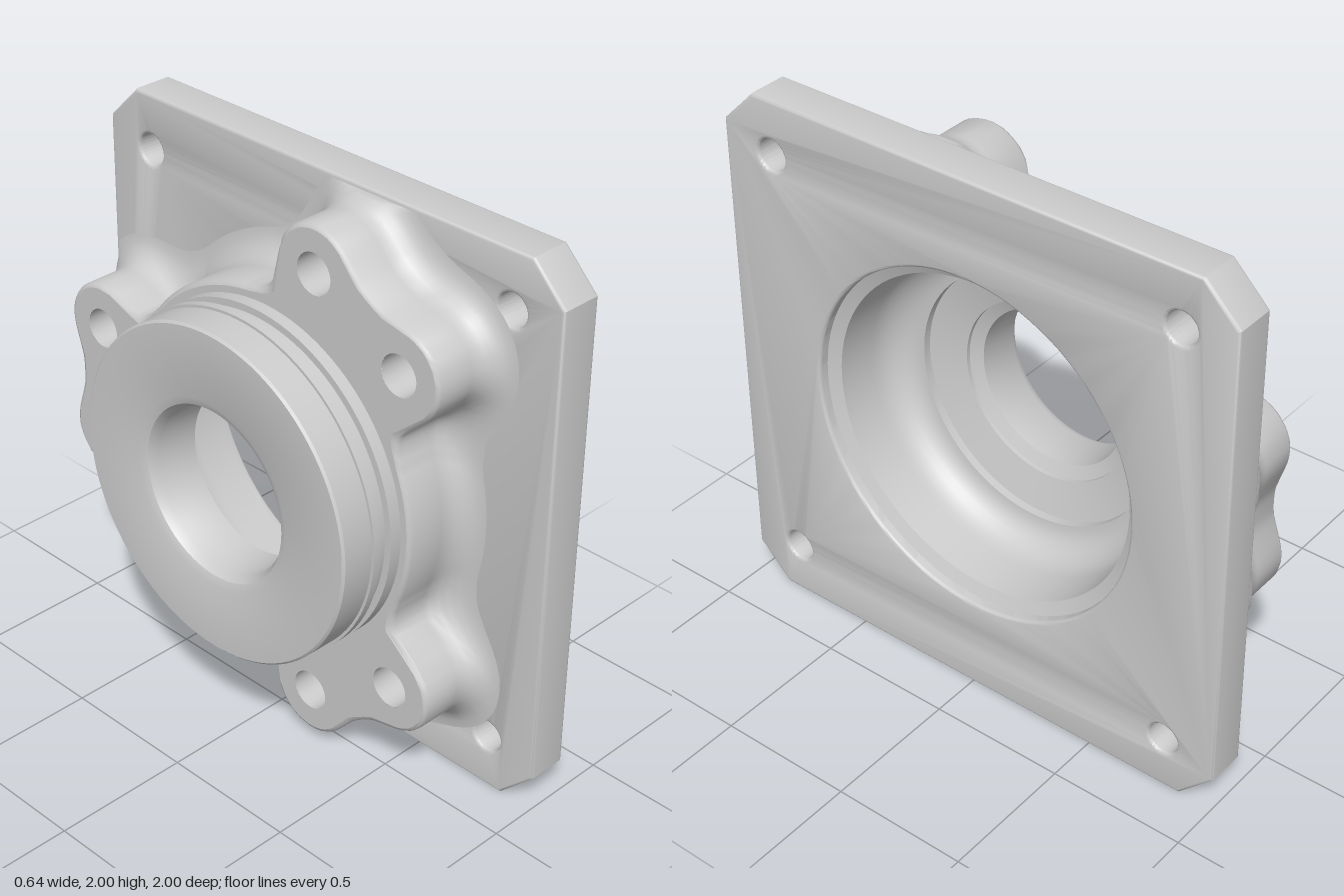
import * as THREE from 'three';
import { toCreasedNormals } from 'three/addons/utils/BufferGeometryUtils.js';

// Local frame: z runs along the bore (towards the hub), the plate lies in xy.
const PLATE_FACE = -0.32, PLATE_BACK = -0.165, BOSS_TOP = 0.08, HUB_END = 0.325;
const BOLT_RADIUS = 0.072;
const material = new THREE.MeshStandardMaterial({ color: 0xcccccc });

function addMesh(parent, name, geometry, crease = 0.6) {
  const mesh = new THREE.Mesh(toCreasedNormals(geometry, crease), material);
  mesh.name = name;
  parent.add(mesh);
  return mesh;
}

// Revolves [radius, height] pairs about the bore axis
function revolve(points, segments) {
  const g = new THREE.LatheGeometry(points.map(([r, h]) => new THREE.Vector2(r, h)), segments);
  return g.rotateX(Math.PI / 2);
}

function circlePath(x, y, r) {
  return new THREE.Path().absarc(x, y, r, 0, Math.PI * 2, true);
}

function polar(degrees, r) {
  const a = THREE.MathUtils.degToRad(degrees);
  return [r * Math.cos(a), r * Math.sin(a)];
}

// Three pairs of bolt holes, with a filler between the holes of each pair
const LOBES = [60, 180, 300];
const boltHoles = LOBES.flatMap((a) => [polar(a - 14.7, 0.825), polar(a + 14.7, 0.825)]);
const lobeCentres = [...boltHoles, ...LOBES.map((a) => polar(a, 0.74))];

// Smoothly blended distance to the boss outline
function smoothMin(a, b, k) {
  const h = Math.max(k - Math.abs(a - b), 0) / k;
  return Math.min(a, b) - h * h * k * 0.25;
}
function bossDistance(x, y) {
  let d = 9;
  for (const [cx, cy] of lobeCentres) d = smoothMin(d, Math.hypot(x - cx, y - cy) - 0.165, 0.12);
  return smoothMin(d, Math.hypot(x, y) - 0.65, 0.2);
}

// Boss outline grown by an offset and kept inside the plate
function bossOutline(offset, count) {
  const points = [];
  for (let i = 0; i < count; i++) {
    const a = (i / count) * Math.PI * 2, c = Math.cos(a), s = Math.sin(a);
    let r = 1.4;
    while (bossDistance(r * c, r * s) > offset) r -= 0.002;
    const lim = 0.985;
    points.push(new THREE.Vector2(
      THREE.MathUtils.clamp(r * c, -lim, lim), THREE.MathUtils.clamp(r * s, -lim, lim)));
  }
  return points;
}

// Boss wall: rings from the plate fillet up to the slightly rounded rim
function bossWall(count) {
  const levels = [];
  const R = 0.1;
  for (let i = 0; i <= 6; i++) {
    const a = (i / 6) * Math.PI / 2;
    levels.push([PLATE_BACK + R * (1 - Math.cos(a)), R * (1 - Math.sin(a))]);
  }
  levels.push([BOSS_TOP - 0.015, 0], [BOSS_TOP - 0.005, -0.005], [BOSS_TOP, -0.015]);
  const positions = [], index = [];
  levels.forEach(([h, offset], row) => {
    bossOutline(offset, count).forEach((p, i) => {
      positions.push(p.x, p.y, h);
      if (row === 0) return;
      const j = (i + 1) % count, lo = (row - 1) * count, hi = row * count;
      index.push(lo + i, lo + j, hi + j, lo + i, hi + j, hi + i);
    });
  });
  const g = new THREE.BufferGeometry();
  g.setAttribute('position', new THREE.Float32BufferAttribute(positions, 3));
  g.setIndex(index);
  return g;
}

export function createModel() {
  const model = new THREE.Group();
  model.name = 'flangedHousing';
  const housing = new THREE.Group();
  housing.name = 'housing';
  housing.rotation.y = -Math.PI / 2;
  housing.position.y = 1;
  model.add(housing);

  // Square plate with cut corners, corner holes and the central opening
  const plate = new THREE.Shape();
  const c = 0.87;
  [[1, -c], [1, c], [c, 1], [-c, 1], [-1, c], [-1, -c], [-c, -1], [c, -1]]
    .forEach(([x, y], i) => (i ? plate.lineTo(x, y) : plate.moveTo(x, y)));
  plate.closePath();
  plate.holes.push(circlePath(0, 0, 0.645));
  for (const x of [-0.8, 0.8]) for (const y of [-0.8, 0.8]) plate.holes.push(circlePath(x, y, 0.057));
  const bevel = 0.012;
  const plateGeometry = new THREE.ExtrudeGeometry(plate, {
    depth: PLATE_BACK - PLATE_FACE - 2 * bevel, curveSegments: 48,
    bevelThickness: bevel, bevelSize: bevel, bevelOffset: -bevel, bevelSegments: 3,
  });
  plateGeometry.translate(0, 0, PLATE_FACE + bevel);
  addMesh(housing, 'mountingPlate', plateGeometry);

  // Three-lobed boss: wall, top face and blind bolt holes
  const count = 288;
  addMesh(housing, 'bossWall', bossWall(count), 1.0);
  const top = new THREE.Shape(bossOutline(-0.015, count));
  top.holes.push(circlePath(0, 0, 0.6));
  for (const [x, y] of boltHoles) top.holes.push(circlePath(x, y, BOLT_RADIUS));
  const topGeometry = new THREE.ShapeGeometry(top, 32);
  topGeometry.translate(0, 0, BOSS_TOP);
  addMesh(housing, 'bossTop', topGeometry);
  for (const [x, y] of boltHoles) {
    const hole = addMesh(housing, 'boltHole',
      revolve([[BOLT_RADIUS, BOSS_TOP], [BOLT_RADIUS, -0.1], [0, -0.13]], 32));
    hole.position.set(x, y, 0);
  }

  // Hub with its seal groove, through bore and stepped bowl on the plate side
  const profile = [
    [0.61, BOSS_TOP - 0.01], [0.61, 0.125], [0.585, 0.125], [0.585, 0.17],
    [0.61, 0.17], [0.61, 0.2], [0.6, 0.2], [0.6, HUB_END - 0.008], [0.592, HUB_END],
    [0.345, HUB_END], [0.315, HUB_END - 0.012], [0.295, HUB_END - 0.045],
    [0.295, 0.12], [0.34, 0.1], [0.34, 0.085], [0.475, 0.05], [0.475, 0.02],
  ];
  // Rounded bowl wall
  for (let i = 1; i <= 8; i++) {
    const a = (i / 8) * Math.PI / 2;
    profile.push([0.475 + 0.115 * Math.sin(a), 0.02 - 0.14 * (1 - Math.cos(a))]);
  }
  profile.push([0.6, -0.26], [0.645, -0.28], [0.645, PLATE_FACE + bevel]);
  addMesh(housing, 'hub', revolve(profile, 96));

  return model;
}
